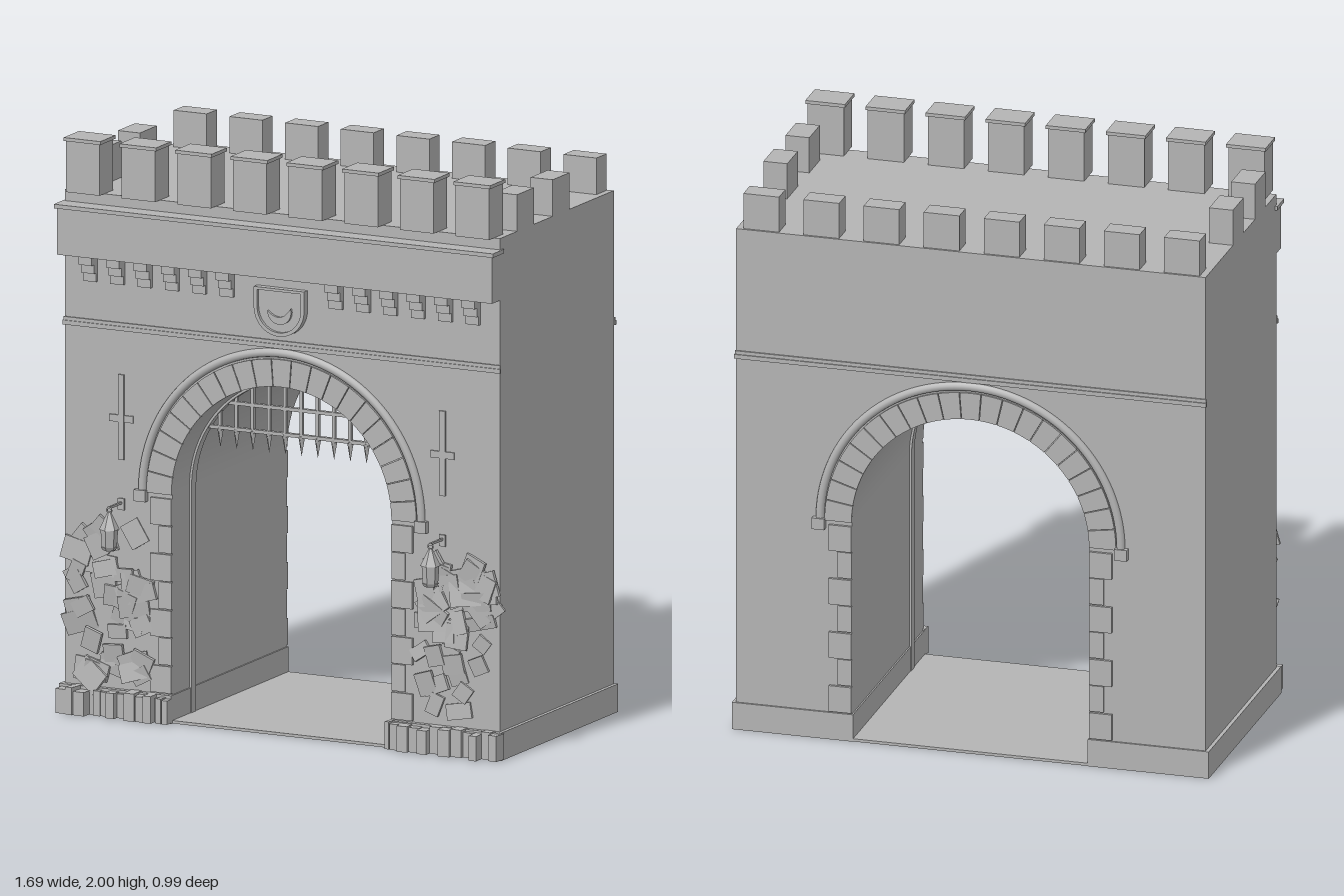
import * as THREE from 'three';

const stone = new THREE.MeshStandardMaterial({ color: 0xb4b4b4 });
stone.name = 'grey stone';

const R = 0.42, SPRING = 0.79, FRONT = 0.37, BACK = -0.47;

export function createModel() {
  const root = new THREE.Group();
  root.name = 'gatehouse';
  let seed = 7;
  const rnd = (a, b) => {
    seed = (seed * 16807) % 2147483647;
    return a + (b - a) * seed / 2147483647;
  };
  const add = (name, geo, x = 0, y = 0, z = 0, parent = root) => {
    const m = new THREE.Mesh(geo, stone);
    m.name = name;
    m.position.set(x, y, z);
    parent.add(m);
    return m;
  };
  // Box given by its min and max corners
  const block = (name, x0, x1, y0, y1, z0, z1, parent = root) =>
    add(name, new THREE.BoxGeometry(x1 - x0, y1 - y0, z1 - z0),
      (x0 + x1) / 2, (y0 + y1) / 2, (z0 + z1) / 2, parent);
  const extrude = (shape, depth, segs = 32) =>
    new THREE.ExtrudeGeometry(shape, { depth, bevelEnabled: false, curveSegments: segs });

  // Main wall block with the arched passage cut through it
  const body = new THREE.Shape();
  body.moveTo(-0.83, 0).lineTo(-R, 0).lineTo(-R, SPRING);
  body.absarc(0, SPRING, R, Math.PI, 0, true);
  body.lineTo(R, 0).lineTo(0.83, 0).lineTo(0.83, 1.81).lineTo(-0.83, 1.81);
  add('gateWall', extrude(body, FRONT - BACK, 48), 0, 0, BACK);
  block('passageFloor', -R, R, 0, 0.01, -0.475, 0.38);

  // Guide rib for the portcullis
  const rib = new THREE.Shape();
  rib.moveTo(-R, 0.01).lineTo(-R, SPRING);
  rib.absarc(0, SPRING, R, Math.PI, 0, true);
  rib.lineTo(R, 0.01).lineTo(R - 0.008, 0.01).lineTo(R - 0.008, SPRING);
  rib.absarc(0, SPRING, R - 0.008, 0, Math.PI, false);
  rib.lineTo(-R + 0.008, 0.01);
  add('portcullisGuide', extrude(rib, 0.035, 48), 0, 0, 0.21);

  // Portcullis: spiked bars and cross rails
  const portcullis = new THREE.Group();
  portcullis.name = 'portcullis';
  root.add(portcullis);
  for (let i = -5; i <= 5; i++) {
    const x = i * 0.062;
    const top = SPRING + Math.sqrt(R * R - x * x);
    block('bar', x - 0.006, x + 0.006, 1.0, top, 0.222, 0.234, portcullis);
    const spike = add('spike', new THREE.ConeGeometry(0.013, 0.07, 4), x, 0.975, 0.228, portcullis);
    spike.rotation.x = Math.PI;
  }
  for (const y of [1.01, 1.1, 1.185]) {
    const w = Math.sqrt(R * R - (y - SPRING) ** 2);
    block('rail', -w, w, y - 0.006, y + 0.006, 0.22, 0.236, portcullis);
  }

  // Arch dressings for the front (s = 1) and the back (s = -1)
  for (const s of [1, -1]) {
    const face = new THREE.Group();
    face.name = s > 0 ? 'frontArch' : 'backArch';
    face.position.z = s > 0 ? FRONT : BACK;
    face.rotation.y = s > 0 ? 0 : Math.PI;
    root.add(face);
    const n = 21;
    for (let i = 0; i < n; i++) {
      const a = Math.PI * i / n + 0.003, b = Math.PI * (i + 1) / n - 0.003;
      const wedge = new THREE.Shape();
      wedge.absarc(0, SPRING, 0.515, a, b, false);
      wedge.absarc(0, SPRING, R, b, a, true);
      add('voussoir', extrude(wedge, 0.008, 4), 0, 0, 0, face);
    }
    // Hood mould
    const hood = add('hoodMould', new THREE.TorusGeometry(0.532, 0.015, 10, 64, Math.PI), 0, SPRING + 0.005, 0.004, face);
    hood.scale.z = 0.9;
    for (const m of [1, -1]) {
      block('hoodStop', m * 0.535 - 0.022, m * 0.535 + 0.022, 0.76, 0.8, 0, 0.022, face);
      // Alternating jamb stones
      for (let i = 0; i < 7; i++) {
        const w = i % 2 ? 0.05 : 0.08, c = m * (R + w / 2);
        block('jambStone', c - w / 2, c + w / 2, 0.1 + i * 0.097 + 0.002, 0.197 + i * 0.097 - 0.002, 0, i % 2 ? 0.005 : 0.01, face);
      }
    }
    block('stringCourse', -0.835, 0.835, 1.343, 1.358, 0, 0.01, face);
    block('stringCourseTop', -0.833, 0.833, 1.358, 1.37, 0, 0.006, face);
  }

  // Projecting parapet band and cornice
  block('parapetBand', -0.83, 0.83, 1.595, 1.76, 0.36, 0.428);
  block('cornice', -0.838, 0.838, 1.757, 1.771, 0.355, 0.437);

  // Stepped corbels under the band
  for (const m of [1, -1]) for (let i = 0; i < 6; i++) {
    const x = m * (0.208 + i * 0.1045);
    [0.413, 0.396, 0.382].forEach((z, k) =>
      block('corbel', x - 0.025, x + 0.025, 1.565 - k * 0.031, 1.597 - k * 0.031, 0.365, z));
  }

  // Battlements
  for (let i = 0; i < 8; i++) {
    const x = (i - 3.5) * 0.2125;
    block('frontMerlon', x - 0.064, x + 0.064, 1.81, 1.988, 0.305, 0.405);
    block('merlonCap', x - 0.07, x + 0.07, 1.988, 2, 0.298, 0.411);
    block('backMerlon', x - 0.063, x + 0.063, 1.81, 1.937, -0.462, -0.386);
  }
  for (const m of [1, -1]) for (const z of [-0.082, 0.18])
    block('sideMerlon', m * 0.788 - 0.042, m * 0.788 + 0.042, 1.81, 1.937, z - 0.063, z + 0.063);

  // Plain shield with a raised rim and a crescent
  const shieldShape = r => {
    const s = new THREE.Shape();
    s.moveTo(-r, r * 0.72).lineTo(-r, 0);
    s.absarc(0, 0, r, Math.PI, Math.PI * 2, false);
    s.lineTo(r, r * 0.72);
    return s;
  };
  const rim = shieldShape(0.096);
  rim.holes.push(shieldShape(0.083));
  add('shieldPanel', extrude(shieldShape(0.09), 0.014), 0, 1.485, FRONT);
  add('shieldRim', extrude(rim, 0.026), 0, 1.485, FRONT);
  const moon = new THREE.Shape();
  moon.absarc(0, 0, 0.045, Math.PI, Math.PI * 2.1, false);
  moon.quadraticCurveTo(0.005, -0.045, -0.045, 0);
  add('crescent', extrude(moon, 0.01), 0, 1.475, FRONT + 0.014);

  for (const m of [1, -1]) {
    // Cross-shaped arrow slit
    const sx = m * 0.613;
    block('arrowSlit', sx - 0.011, sx + 0.011, 0.895, 1.19, FRONT, FRONT + 0.007);
    block('arrowSlitCross', sx - 0.045, sx + 0.045, 1.025, 1.049, FRONT, FRONT + 0.006);

    // Hanging lantern on a bracket
    const lantern = new THREE.Group();
    lantern.name = m > 0 ? 'leftLantern' : 'rightLantern';
    lantern.position.set(sx, 0, 0.462);
    root.add(lantern);
    block('bracket', -0.004, 0.004, 0.741, 0.749, FRONT - 0.462, 0.004, lantern);
    block('wallPlate', -0.012, 0.012, 0.72, 0.76, FRONT - 0.462, FRONT - 0.455, lantern);
    add('hook', new THREE.TorusGeometry(0.009, 0.003, 6, 12), 0, 0.736, 0, lantern);
    const hex = (name, a, b, h, y) =>
      add(name, new THREE.CylinderGeometry(a, b, h, 6).toNonIndexed(), 0, y, 0, lantern).geometry.computeVertexNormals();
    hex('lanternRoof', 0.006, 0.035, 0.06, 0.7);
    hex('lanternBody', 0.03, 0.026, 0.06, 0.64);
    hex('lanternBase', 0.029, 0.022, 0.012, 0.604);

    // Plinth
    const px = m * 0.629;
    block('plinth', px - 0.214, px + 0.214, 0, 0.097, -0.477, 0.388);

    // Rough upright stones along the foot of the wall
    let x = 0.415;
    while (x < 0.815) {
      const w = rnd(0.015, 0.045);
      const s = block('footStone', m * x - (m < 0 ? w : 0), m * x + (m > 0 ? w : 0), 0.003, rnd(0.085, 0.1), 0.37, rnd(0.4, 0.445));
      s.rotation.y = rnd(-0.2, 0.2);
      x += w;
    }

    // Irregular facing slabs on the lower wall
    for (let i = 0; i < 42; i++) {
      const y = rnd(0.13, 0.66);
      const slab = add('facingSlab', new THREE.BoxGeometry(rnd(0.05, 0.12), rnd(0.045, 0.09), 0.012),
        m * rnd(0.53 + Math.max(0, y - 0.5) * 0.15, 0.785), y, rnd(0.372, 0.386));
      slab.rotation.set(rnd(-0.15, 0.15), rnd(-0.15, 0.15), rnd(-0.7, 0.7));
    }
  }
  return root;
}
